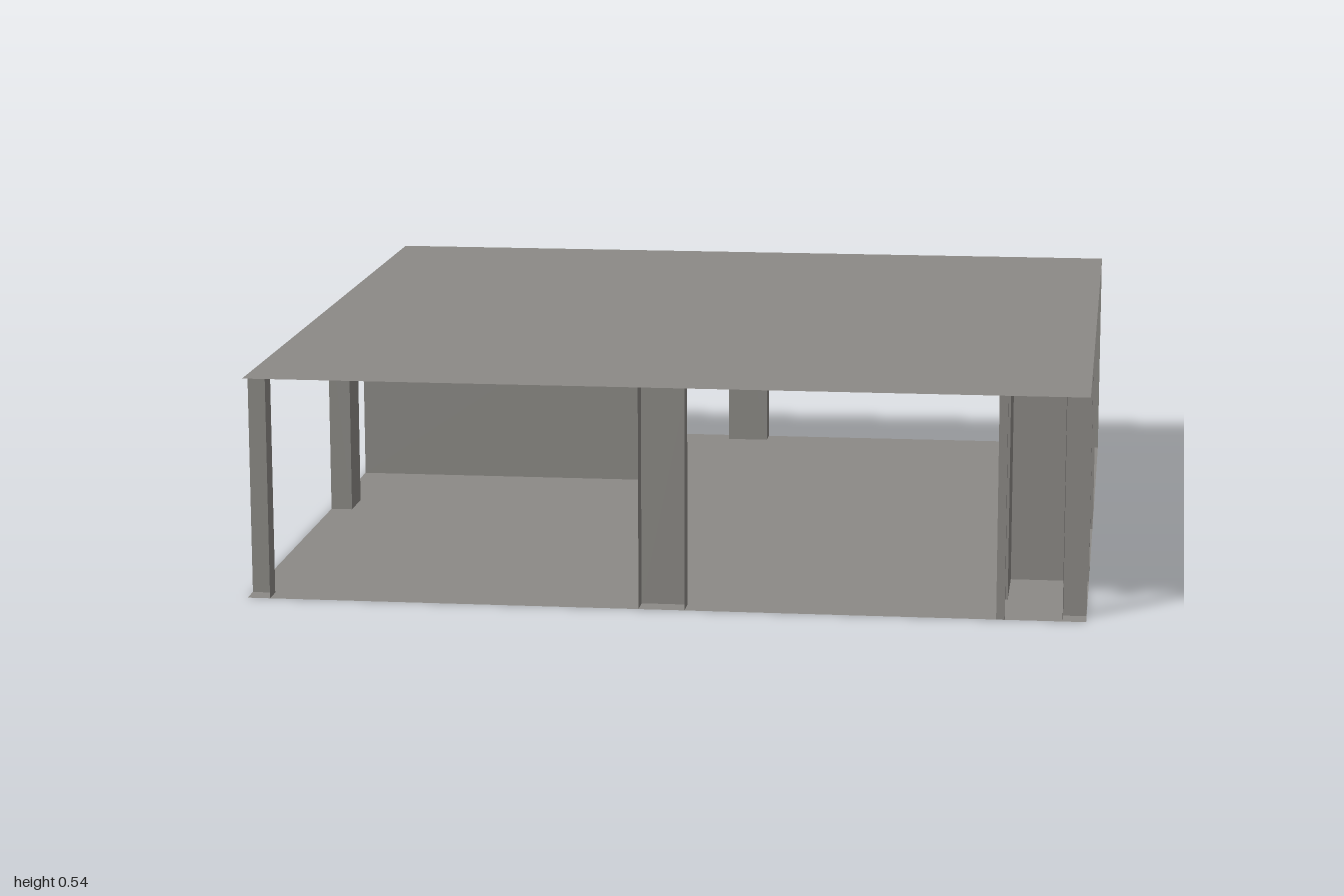
import * as THREE from 'three';

const HEIGHT = 0.535;
const COL = 0.055; // column half width and depth

export function createModel() {
  const model = new THREE.Group();
  model.name = 'pavilion';
  const concrete = new THREE.MeshStandardMaterial({ color: 0x8c8a86, side: THREE.DoubleSide });
  concrete.name = 'concrete grey';

  function add(parent, name, geometry) {
    const mesh = new THREE.Mesh(geometry, concrete);
    mesh.name = name;
    parent.add(mesh);
    return mesh;
  }

  // Thin upright sheet standing between two plan points
  function sheet(parent, name, x0, z0, x1, z1) {
    const mesh = add(parent, name, new THREE.PlaneGeometry(Math.hypot(x1 - x0, z1 - z0), HEIGHT));
    mesh.position.set((x0 + x1) / 2, HEIGHT / 2, (z0 + z1) / 2);
    mesh.rotation.y = -Math.atan2(z1 - z0, x1 - x0);
  }

  // Solid wall filling a rectangle in plan
  function wall(name, x0, x1, z0, z1) {
    const mesh = add(model, name, new THREE.BoxGeometry(x1 - x0, HEIGHT, z1 - z0));
    mesh.position.set((x0 + x1) / 2, HEIGHT / 2, (z0 + z1) / 2);
  }

  // Floor faces down, ceiling faces up
  const floor = add(model, 'floor', new THREE.PlaneGeometry(2, 2));
  floor.rotation.x = Math.PI / 2;
  const ceiling = add(model, 'ceiling', new THREE.PlaneGeometry(2, 2));
  ceiling.rotation.x = -Math.PI / 2;
  ceiling.position.y = HEIGHT;

  // One corner column and one mid-side column per side, open to the outside
  for (let i = 0; i < 4; i++) {
    const side = new THREE.Group();
    side.name = 'sideColumns';
    side.rotation.y = i * Math.PI / 2;
    const inner = 1 - COL;
    sheet(side, 'cornerColumn', inner, inner, 1, inner);
    sheet(side, 'cornerColumn', inner, inner, inner, 1);
    sheet(side, 'middleColumn', -COL, inner, COL, inner);
    sheet(side, 'middleColumn', -COL, inner, -COL, 1);
    sheet(side, 'middleColumn', COL, inner, COL, 1);
    model.add(side);
  }

  // Back room
  wall('backRoomSideWall', -0.205, -0.19, -1, -0.385);
  wall('backRoomFrontWall', -1, -0.205, -0.4, -0.385);
  sheet(model, 'backRoomOuterWall', -1, -1 + COL, -1, -0.4);

  // Small front closet with a doorway beside the front edge
  wall('closetBackWall', 0.79, 1, 0.59, 0.61);
  wall('closetSideWall', 0.79, 0.81, 0.61, 0.81);
  wall('closetDoorJamb', 0.79, 0.81, 0.985, 1);

  return model;
}
